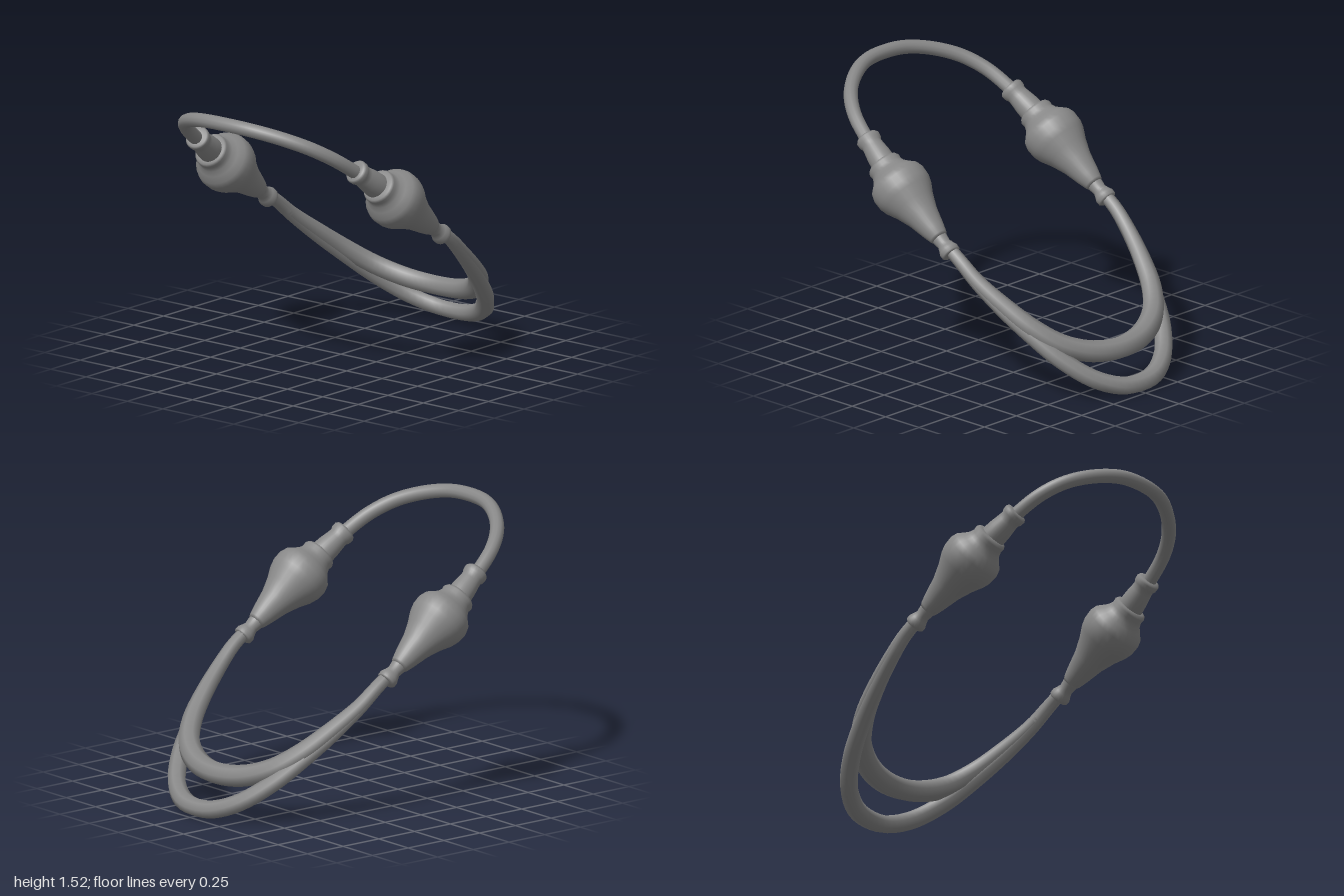
import * as THREE from 'three';

const V = (x, y, z) => new THREE.Vector3(x, y, z);

// Full left-to-right curve from the points of one half (side to middle)
function mirroredCurve(half) {
  const left = half.map(p => V(...p));
  const right = half.slice(0, -1).reverse().map(([x, y, z]) => V(-x, y, z));
  return new THREE.CatmullRomCurve3([...left, ...right]);
}

// Tube that swells toward its middle and is squashed along a plane normal
function taperedTube(curve, segs, sides, rEnd, rMid, normal, squash) {
  const g = new THREE.TubeGeometry(curve, segs, 1, sides, false);
  const pos = g.attributes.position;
  const p = V(0, 0, 0);
  for (let i = 0; i <= segs; i++) {
    const u = i / segs;
    const c = curve.getPointAt(u);
    const k = THREE.MathUtils.smoothstep(1 - Math.abs(2 * u - 1), 0, 0.75);
    const r = THREE.MathUtils.lerp(rEnd, rMid, k);
    const flat = THREE.MathUtils.lerp(1, squash, k);
    for (let j = 0; j <= sides; j++) {
      const n = i * (sides + 1) + j;
      p.fromBufferAttribute(pos, n).sub(c);
      p.addScaledVector(normal, p.dot(normal) * (flat - 1)).multiplyScalar(r).add(c);
      pos.setXYZ(n, p.x, p.y, p.z);
    }
  }
  // keep the tube's own ring normals, which stay smooth across the seam
  return g;
}

// Lathe of [distance, radius] pairs, standing on a point and aimed along a direction
function turned(name, profile, origin, dir, mat) {
  const pts = profile.map(([t, r]) => new THREE.Vector2(r, t));
  const mesh = new THREE.Mesh(new THREE.LatheGeometry(pts, 28), mat);
  mesh.name = name;
  mesh.position.copy(origin);
  mesh.quaternion.setFromUnitVectors(V(0, 1, 0), dir.normalize());
  return mesh;
}

export function createModel() {
  const group = new THREE.Group();
  group.name = 'cableLoop';
  const grey = new THREE.MeshStandardMaterial({ color: 0x888888 });
  grey.name = 'grey';
  const add = (name, geometry) => {
    const mesh = new THREE.Mesh(geometry, grey);
    mesh.name = name;
    group.add(mesh);
  };

  // Thin front hose
  const hose = mirroredCurve([
    [0.57, 1.19, 0.49], [0.555, 1.25, 0.575], [0.515, 1.325, 0.685],
    [0.435, 1.393, 0.79], [0.31, 1.445, 0.88], [0.16, 1.477, 0.943], [0, 1.485, 0.96],
  ]);
  add('frontHose', new THREE.TubeGeometry(hose, 72, 0.039, 12, false));

  // Two heavier rear straps sharing their ends
  const normal = V(0, 0.755, -0.655);
  const lower = mirroredCurve([
    [0.607, 0.79, -0.09], [0.605, 0.71, -0.2], [0.59, 0.62, -0.3], [0.545, 0.49, -0.45],
    [0.48, 0.362, -0.6], [0.395, 0.235, -0.745], [0.27, 0.125, -0.87],
    [0.13, 0.068, -0.938], [0, 0.055, -0.953],
  ]);
  add('lowerRearStrap', taperedTube(lower, 64, 8, 0.036, 0.053, normal, 0.85));
  const upper = mirroredCurve([
    [0.607, 0.79, -0.09], [0.605, 0.715, -0.2], [0.59, 0.63, -0.3], [0.54, 0.514, -0.45],
    [0.465, 0.396, -0.6], [0.36, 0.305, -0.71], [0.2, 0.245, -0.785], [0, 0.225, -0.815],
  ]);
  add('upperRearStrap', taperedTube(upper, 64, 8, 0.036, 0.064, normal, 0.85));

  // Bulb-shaped connectors on both sides
  const bulb = [
    [-0.36, 0], [-0.36, 0.045], [-0.345, 0.053], [-0.3, 0.066], [-0.2, 0.09], [-0.12, 0.12],
    [-0.06, 0.15], [-0.02, 0.162], [0.03, 0.164], [0.065, 0.153], [0.095, 0.125],
    [0.12, 0.105], [0.145, 0.095], [0.168, 0.098], [0.182, 0.09], [0.187, 0.07], [0.187, 0],
  ];
  const collar = [
    [-0.475, 0], [-0.475, 0.045], [-0.467, 0.055], [-0.445, 0.056], [-0.425, 0.047],
    [-0.4, 0.038], [-0.37, 0.043], [-0.34, 0.046],
  ];
  const sleeve = [
    [-0.02, 0], [-0.02, 0.068], [0.03, 0.071], [0.09, 0.067], [0.14, 0.06], [0.165, 0.058],
    [0.18, 0.066], [0.205, 0.068], [0.217, 0.06], [0.22, 0.038], [0.22, 0],
  ];
  for (const [side, s] of [['left', 1], ['right', -1]]) {
    const centre = V(s * 0.597, 1.025, 0.25);
    const axis = () => V(-s * 0.03, 0.587, 0.81);
    group.add(turned(side + 'Bulb', bulb, centre, axis(), grey));
    group.add(turned(side + 'RearCollar', collar, centre, axis(), grey));
    group.add(turned(side + 'FrontSleeve', sleeve,
      V(s * 0.588, 1.112, 0.375), V(-s * 0.13, 0.587, 0.8), grey));
  }
  return group;
}
